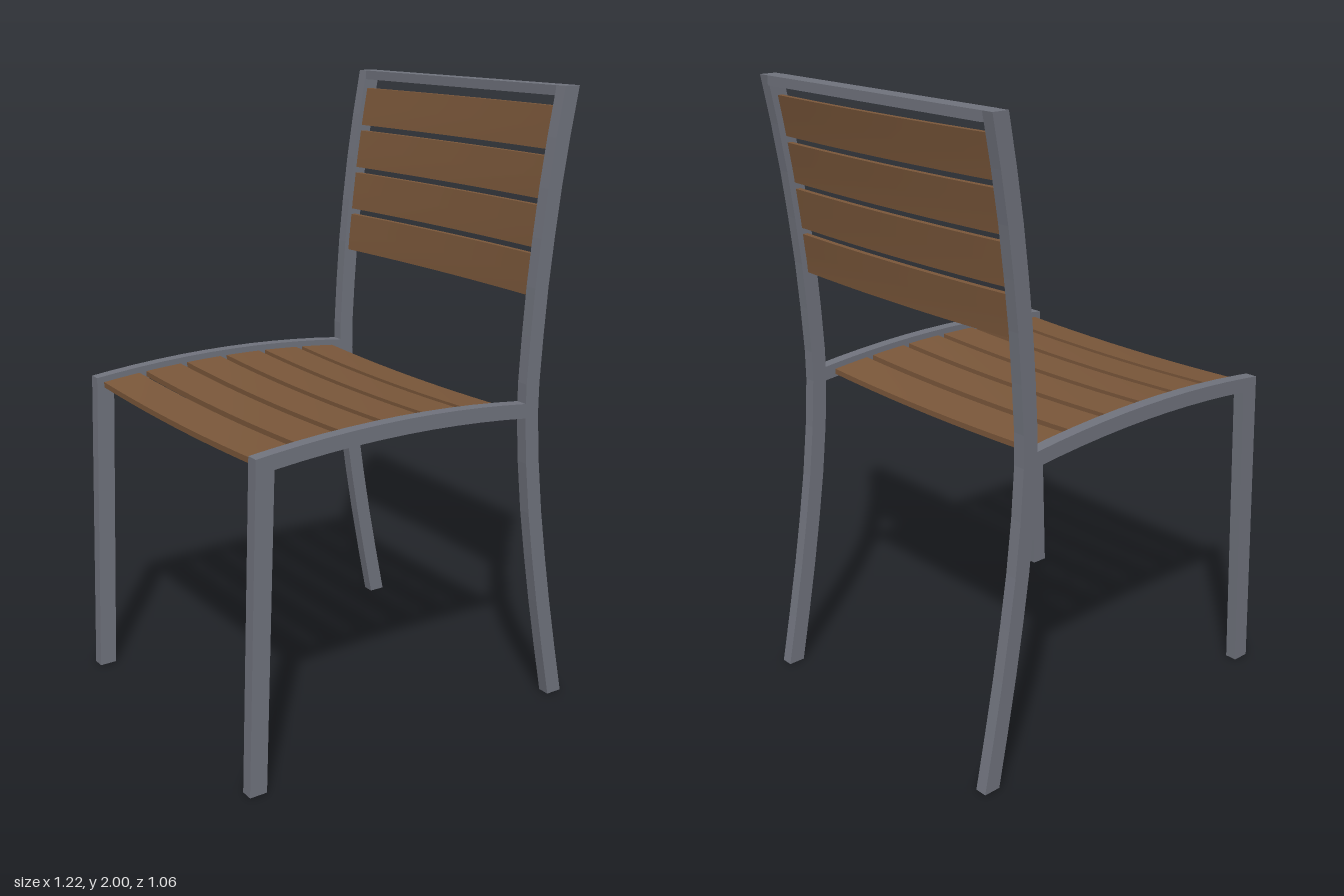
import * as THREE from 'three';

const HALF = 0.49;   // inner half width between the side frames
const BAR = 0.04;    // frame thickness across z

// Height of the seat rail's arched top edge
const railTop = (x) => 1.066 - 0.0285 * ((x + 0.08) / 0.485) ** 2;

// Front edge of the rear post: [y, x]
const POST = [
  [0, 0.55], [0.17, 0.516], [0.35, 0.482], [0.51, 0.455], [0.67, 0.431], [0.84, 0.412],
  [1, 0.401], [1.1, 0.401], [1.25, 0.409], [1.4, 0.42], [1.55, 0.436], [1.7, 0.455],
  [1.85, 0.479], [2, 0.507],
];
const postX = (y) => {
  let i = 1;
  while (i < POST.length - 1 && POST[i][0] < y) i++;
  const [y0, x0] = POST[i - 1], [y1, x1] = POST[i];
  return x0 + ((x1 - x0) * (y - y0)) / (y1 - y0);
};
const postDepth = (y) => 0.052 + 0.004 * Math.abs(y - 1);

// Extrude a side-view outline into a flat bar
function sideBar(points) {
  const shape = new THREE.Shape(points.map(([x, y]) => new THREE.Vector2(x, y)));
  return new THREE.ExtrudeGeometry(shape, { depth: BAR, bevelEnabled: false });
}

// Box running across z whose vertices are moved by a rule
function bentSlat(w, h, rule) {
  const geo = new THREE.BoxGeometry(w, h, HALF * 2, 4, 4, 10);
  const p = geo.attributes.position;
  for (let i = 0; i < p.count; i++) {
    const bow = 1 - (p.getZ(i) / HALF) ** 2;
    const [x, y] = rule(p.getX(i), p.getY(i), bow);
    p.setXY(i, x, y);
  }
  geo.computeVertexNormals();
  return geo;
}

export function createModel() {
  const group = new THREE.Group();
  const metal = new THREE.MeshStandardMaterial({ name: 'grey metal', color: 0x70737d });
  const wood = new THREE.MeshStandardMaterial({ name: 'brown wood', color: 0x7a573a });
  const add = (name, geo, mat, z = 0) => {
    const mesh = new THREE.Mesh(geo, mat);
    mesh.name = name;
    mesh.position.z = z;
    group.add(mesh);
  };

  // Side frame outlines
  const rearPost = sideBar([
    ...POST.map(([y, x]) => [x + postDepth(y), y]),
    ...POST.map(([y, x]) => [x, y]).reverse(),
  ]);
  const frontLeg = sideBar([[-0.61, 0], [-0.552, 0], [-0.515, 0.998], [-0.515, railTop(-0.515)], [-0.575, railTop(-0.575)]]);
  const xs = Array.from({ length: 11 }, (_, i) => -0.515 + (i * 0.92) / 10);
  const seatRail = sideBar([
    ...xs.map((x) => [x, railTop(x) - 0.047]),
    ...xs.map((x) => [x, railTop(x)]).reverse(),
  ]);
  for (const [side, z] of [['left', HALF], ['right', -HALF - BAR]]) {
    add(side + 'RearPost', rearPost, metal, z);
    add(side + 'FrontLeg', frontLeg, metal, z);
    add(side + 'SeatRail', seatRail, metal, z);
  }

  // Rail joining the tops of the rear posts
  const topRail = new THREE.BoxGeometry(0.058, 0.03, HALF * 2);
  topRail.translate(0.534, 1.985, 0);
  add('topRail', topRail, metal);

  // Seat slats follow the arched rails and sag in the middle
  for (let i = 0; i < 6; i++) {
    const cx = -0.485 + i * 0.1564;
    add('seatSlat' + (i + 1), bentSlat(0.131, 0.018, (x, y, bow) =>
      [cx + x, railTop(cx + x) - 0.029 + y - 0.011 * bow]), wood);
  }

  // Back slats follow the posts and bow backwards in the middle
  for (let i = 0; i < 4; i++) {
    const cy = 1.433 + i * 0.1473;
    add('backSlat' + (i + 1), bentSlat(0.018, 0.127, (x, y, bow) =>
      [postX(cy + y) + 0.025 + x + 0.015 * bow, cy + y]), wood);
  }
  return group;
}
